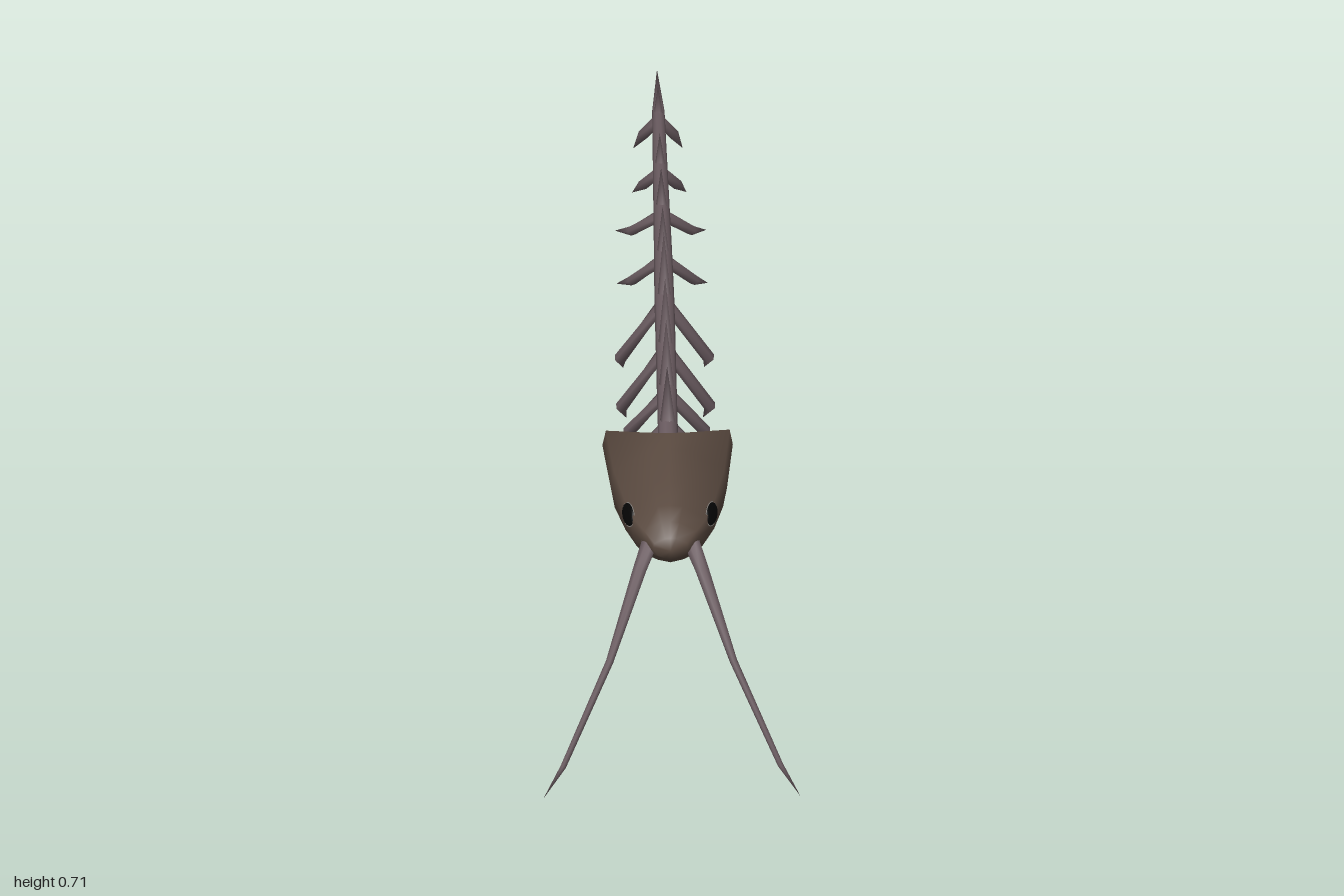
import * as THREE from 'three';

const skin = new THREE.MeshStandardMaterial({ color: 0x5a4a40, side: THREE.DoubleSide });
const bone = new THREE.MeshStandardMaterial({ color: 0x6c5d62 });
const black = new THREE.MeshStandardMaterial({ color: 0x050505 });
const pale = new THREE.MeshStandardMaterial({ color: 0x8a8580 });
const V = (x, y, z) => new THREE.Vector3(x, y, z);

// Skin over a list of rings (counter-clockwise around the path), with optional end points
function loft(rings, startTip, endTip) {
  const n = rings[0].length, pts = rings.flat(), index = [];
  for (let i = 0; i + 1 < rings.length; i++) {
    for (let j = 0; j < n; j++) {
      const k = (j + 1) % n, a = i * n + j, b = i * n + k;
      index.push(a, b, b + n, a, b + n, a + n);
    }
  }
  const fan = (tip, base, flip) => {
    const c = pts.push(tip) - 1;
    for (let j = 0; j < n; j++) {
      const a = base + j, b = base + (j + 1) % n;
      index.push(flip ? b : a, flip ? a : b, c);
    }
  };
  if (startTip) fan(startTip, 0, true);
  if (endTip) fan(endTip, (rings.length - 1) * n, false);
  const g = new THREE.BufferGeometry().setFromPoints(pts);
  g.setIndex(index);
  g.computeVertexNormals();
  return g;
}

// Tapered limb along a path, ending in a sharp tip
function limb(path, radii, sides) {
  const rings = path.slice(0, -1).map((p, i) => {
    const t = path[i + 1].clone().sub(path[Math.max(i - 1, 0)]).normalize();
    const u = V(0, 1, 0).cross(t);
    if (u.length() < 0.05) u.set(1, 0, 0);
    u.normalize();
    const v = t.clone().cross(u);
    return Array.from({ length: sides }, (_, j) => {
      const a = (j / sides) * Math.PI * 2;
      return p.clone().addScaledVector(u, Math.cos(a) * radii[i]).addScaledVector(v, Math.sin(a) * radii[i]);
    });
  });
  return loft(rings, path[0], path[path.length - 1]);
}

function add(group, name, geometry, material) {
  const mesh = new THREE.Mesh(geometry, material);
  mesh.name = name;
  group.add(mesh);
  return mesh;
}

// Height of the backbone at any z
const spineCurve = [[0.53, 0.57], [0.3, 0.572], [0.15, 0.584], [0, 0.59], [-0.2, 0.59],
  [-0.4, 0.572], [-0.6, 0.555], [-0.8, 0.54], [-0.98, 0.526]];
function spineY(z) {
  for (let i = 0; i + 1 < spineCurve.length; i++) {
    const [z0, y0] = spineCurve[i], [z1, y1] = spineCurve[i + 1];
    if (z >= z1) return y0 + (y1 - y0) * (z0 - z) / (z0 - z1);
  }
  return 0.526;
}

function buildHead() {
  const head = new THREE.Group();
  head.name = 'head';
  // Half of the slanted rear rim, top to bottom
  const half = [[0, 0.62, 0.55], [0.045, 0.615, 0.54], [0.13, 0.555, 0.44], [0.137, 0.505, 0.42],
    [0.128, 0.45, 0.41], [0.095, 0.39, 0.4], [0.045, 0.36, 0.43], [0, 0.347, 0.45]];
  const outline = [...half.map(([x, y, z]) => V(-x, y, z)),
    ...half.slice(1, -1).reverse().map(([x, y, z]) => V(x, y, z))];
  // Sections towards the snout: z, half width, top, bottom
  const sections = [[0.6, 0.122, 0.614, 0.379], [0.7, 0.1, 0.598, 0.405], [0.77, 0.08, 0.583, 0.44],
    [0.81, 0.058, 0.568, 0.472], [0.835, 0.036, 0.543, 0.49]];
  const rings = [outline, ...sections.map(([z, w, top, bottom]) => outline.map(p =>
    V(p.x * w / 0.137, bottom + (p.y - 0.347) / 0.273 * (top - bottom), z)))];
  add(head, 'skull', loft(rings, null, V(0, 0.515, 0.842)), skin);
  add(head, 'skullBack', loft([outline.map(p => p.clone())], V(0, 0.49, 0.46), null), skin);

  for (const s of [1, -1]) {
    const side = s > 0 ? 'left' : 'right';
    const eye = new THREE.Group();
    eye.name = side + 'Eye';
    const ball = add(eye, side + 'Eyeball', new THREE.SphereGeometry(1, 20, 14), black);
    ball.scale.set(0.008, 0.021, 0.032);
    const rim = new THREE.TorusGeometry(1, 0.05, 6, 24).rotateY(Math.PI / 2);
    add(eye, side + 'EyeRim', rim, pale).scale.set(0.02, 0.022, 0.033);
    eye.position.set(s * 0.087, 0.538, 0.735);
    eye.rotation.set(0, -s * 0.3, s * 0.3);
    head.add(eye);
    // Long drooping whisker
    const path = [V(s * 0.045, 0.51, 0.805), V(s * 0.065, 0.47, 0.84), V(s * 0.13, 0.3, 0.935),
      V(s * 0.228, 0.07, 0.985), V(s * 0.27, 0, 1)];
    add(head, side + 'Whisker', limb(path, [0.018, 0.015, 0.008, 0.006], 8), bone);
  }
  return head;
}

function buildSkeleton() {
  const skeleton = new THREE.Group();
  skeleton.name = 'skeleton';
  const path = spineCurve.map(([z, y]) => V(0, y, z));
  add(skeleton, 'backbone', limb(path, [0.021, 0.021, 0.021, 0.021, 0.019, 0.017, 0.015, 0.013], 10), bone);

  // Dorsal spikes swept back: base z, tip z, tip y
  const spikes = [[0.46, 0.355, 0.66], [0.32, 0.23, 0.695], [0.175, 0.09, 0.708], [0.005, -0.085, 0.708],
    [-0.16, -0.24, 0.67], [-0.36, -0.44, 0.635], [-0.545, -0.615, 0.605], [-0.765, -0.85, 0.57]];
  spikes.forEach(([z, tz, ty], i) =>
    add(skeleton, 'dorsalSpike' + (i + 1), limb([V(0, spineY(z), z), V(0, ty, tz)], [0.019 - i * 0.001], 7), bone));

  // Rib pairs: base z, knee x y z, tip x y z
  const ribs = [
    [0.44, 0.085, 0.46, 0.425, 0.1, 0.375, 0.31],
    [0.32, 0.08, 0.47, 0.315, 0.088, 0.37, 0.19],
    [0.17, 0.093, 0.435, 0.168, 0.08, 0.332, 0.055],
    [0, 0.093, 0.445, -0.002, 0.085, 0.35, -0.11],
    [-0.16, 0.065, 0.52, -0.185, 0.096, 0.43, -0.31],
    [-0.35, 0.062, 0.52, -0.375, 0.096, 0.438, -0.5],
    [-0.54, 0.037, 0.512, -0.56, 0.057, 0.415, -0.68],
    [-0.765, 0.033, 0.492, -0.782, 0.052, 0.41, -0.855]];
  ribs.forEach(([z, kx, ky, kz, tx, ty, tz], i) => {
    for (const s of [1, -1]) {
      const rib = [V(0, spineY(z), z), V(s * kx, ky, kz), V(s * tx, ty, tz)];
      add(skeleton, (s > 0 ? 'left' : 'right') + 'Rib' + (i + 1),
        limb(rib, [0.013, i < 4 ? 0.013 : 0.011], 6), bone);
    }
  });
  return skeleton;
}

export function createModel() {
  const model = new THREE.Group();
  model.name = 'whiskeredSkeletonFish';
  model.add(buildHead(), buildSkeleton());
  return model;
}
